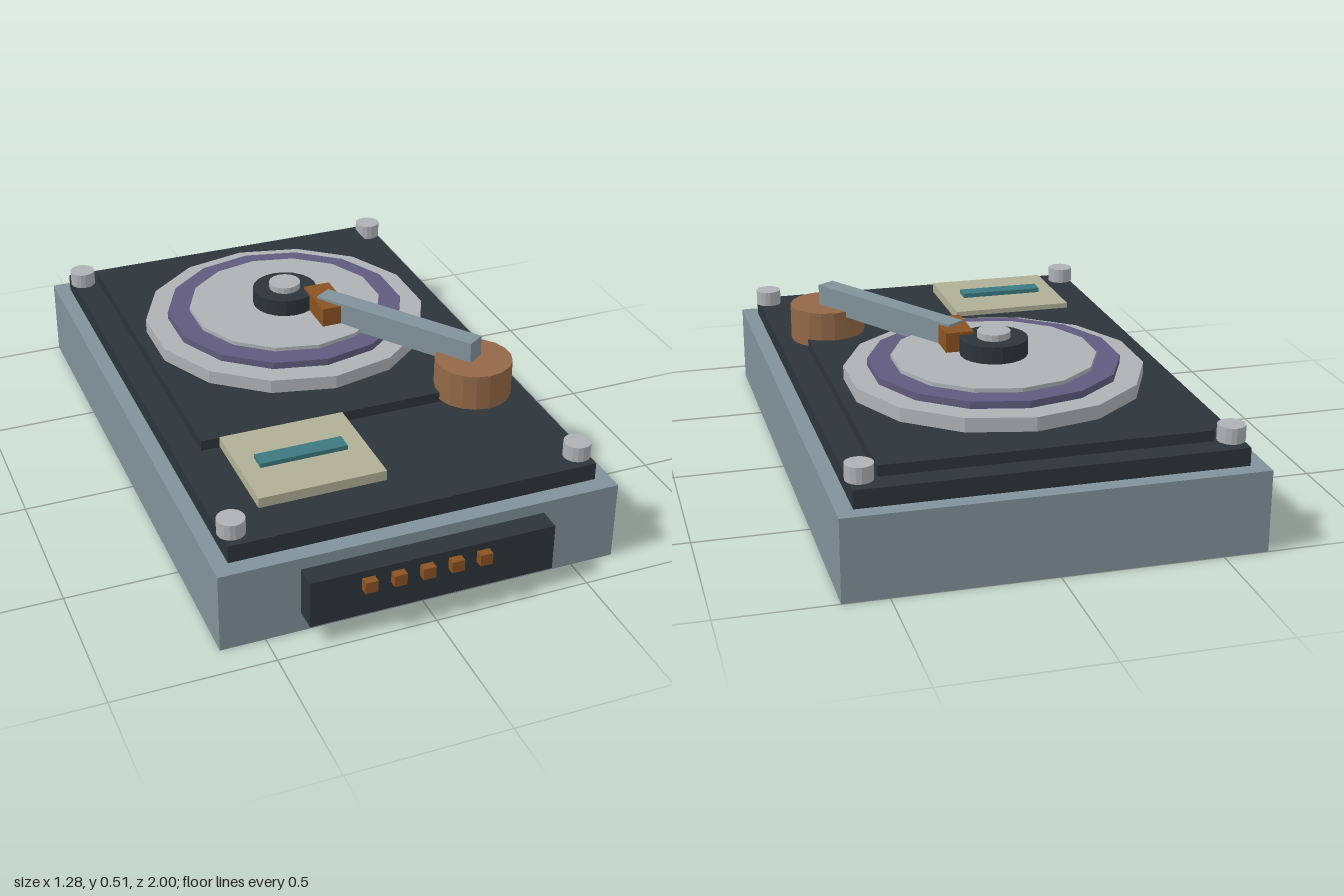
import * as THREE from 'three';

export function createModel() {
  const root = new THREE.Group();
  root.name = 'turntable';

  const paint = (name, color) => {
    const m = new THREE.MeshStandardMaterial({ color, flatShading: true });
    m.name = name;
    return m;
  };
  const steel = paint('blue grey', 0x80929a);
  const dark = paint('charcoal', 0x2c343a);
  const silver = paint('silver', 0xaeb2b5);
  const purple = paint('muted purple', 0x605b7e);
  const copper = paint('copper', 0x936847);
  const amber = paint('amber brown', 0x8a5222);
  const cream = paint('cream', 0xb0b096);
  const teal = paint('teal', 0x3c7a80);

  const add = (name, geometry, material) => {
    const mesh = new THREE.Mesh(geometry, material);
    mesh.name = name;
    root.add(mesh);
    return mesh;
  };
  // Box given by its extents on each axis
  const box = (name, material, [x0, x1], [y0, y1], [z0, z1]) =>
    add(name, new THREE.BoxGeometry(x1 - x0, y1 - y0, z1 - z0), material)
      .position.set((x0 + x1) / 2, (y0 + y1) / 2, (z0 + z1) / 2);
  // Upright disc between two heights
  const disc = (name, material, x, z, r, y0, y1, sides) =>
    add(name, new THREE.CylinderGeometry(r, r, y1 - y0, sides), material)
      .position.set(x, (y0 + y1) / 2, z);

  // Body
  box('case', steel, [-0.64, 0.64], [0, 0.26], [-1, 0.9]);
  box('topPlate', dark, [-0.59, 0.59], [0.26, 0.317], [-0.95, 0.845]);
  box('deck', dark, [-0.505, 0.505], [0.317, 0.351], [-0.875, 0.345]);

  // Corner screws
  for (const x of [-0.557, 0.557])
    for (const z of [-0.875, 0.78]) disc('cornerScrew', silver, x, z, 0.043, 0.317, 0.367, 16);

  // Platter stack
  const pz = -0.275;
  disc('platter', silver, 0, pz, 0.475, 0.351, 0.396, 14);
  disc('platterRing', purple, 0, pz, 0.4, 0.396, 0.419, 14);
  disc('platterTop', silver, 0, pz, 0.325, 0.419, 0.432, 14);
  disc('hub', dark, 0, pz, 0.108, 0.432, 0.487, 20);
  disc('spindleCap', silver, 0, pz, 0.053, 0.487, 0.508, 16);

  // Arm, rising slightly from the head to the pivot
  box('armHead', amber, [0.055, 0.145], [0.43, 0.496], [-0.235, -0.06]);
  disc('armPivot', copper, 0.42, 0.33, 0.125, 0.327, 0.446, 18);
  const head = new THREE.Vector3(0.093, 0.461, -0.158);
  const tail = new THREE.Vector3(0.423, 0.472, 0.338);
  const arm = add('arm', new THREE.BoxGeometry(0.065, 0.085, head.distanceTo(tail)), steel);
  arm.position.copy(head).lerp(tail, 0.5);
  arm.lookAt(tail);

  // Display pad
  box('displayPad', cream, [-0.45, -0.045], [0.33, 0.363], [0.36, 0.715]);
  box('displayBar', teal, [-0.39, -0.11], [0.363, 0.378], [0.51, 0.566]);

  // Front control panel
  box('controlPanel', dark, [-0.39, 0.39], [0.067, 0.222], [0.9, 0.973]);
  for (let i = 0; i < 5; i++) {
    const x = -0.21 + i * 0.091;
    box('button', amber, [x - 0.02, x + 0.02], [0.16, 0.198], [0.97, 1]);
  }
  return root;
}
